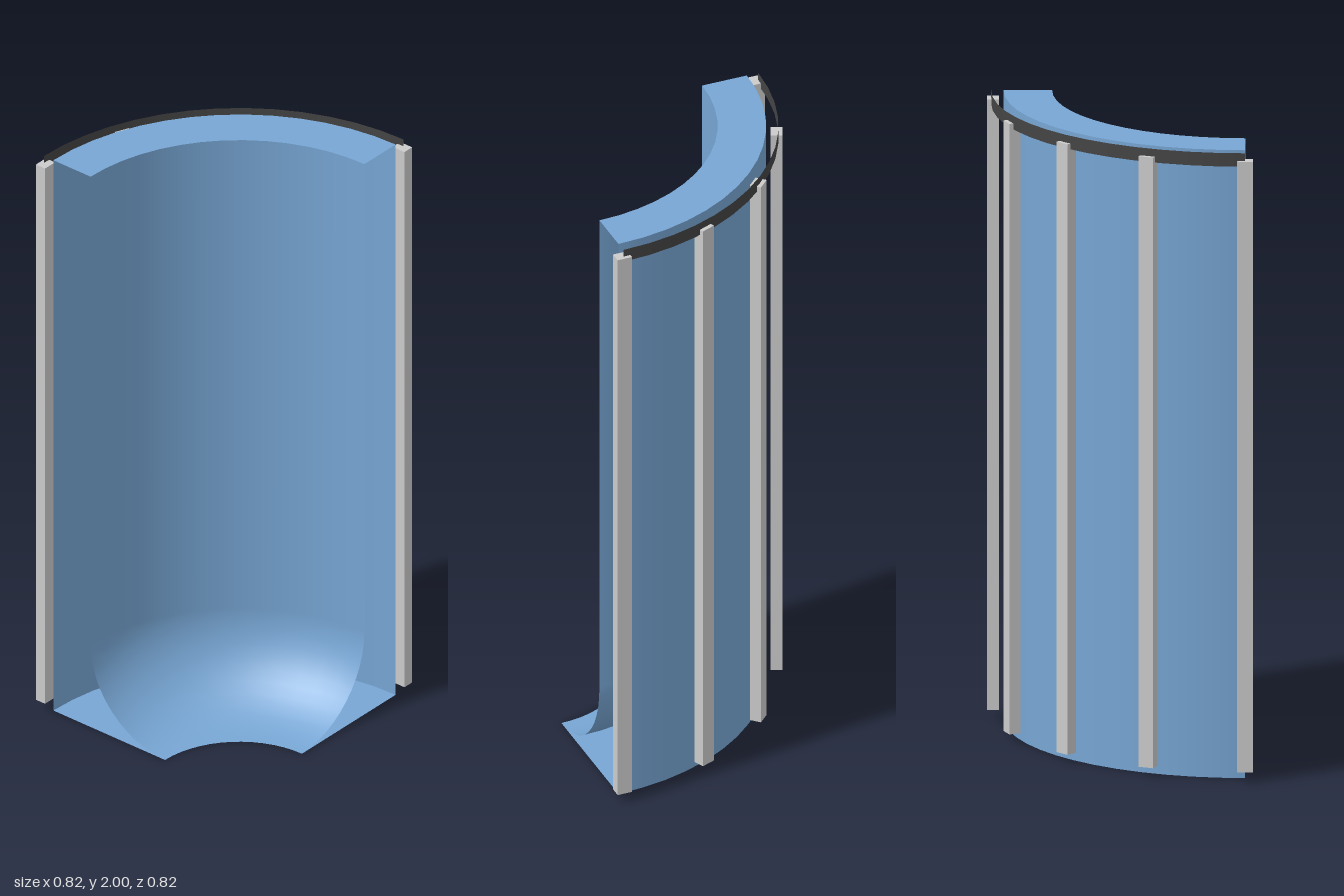
import * as THREE from 'three';

// Quarter-round wall section: everything is swept about one vertical axis.
const AXIS = 0.387;
const START = Math.PI, SWEEP = Math.PI / 2, SEGMENTS = 14;

const blue = new THREE.MeshStandardMaterial({ color: 0x77a6d4, side: THREE.DoubleSide });
const dark = new THREE.MeshStandardMaterial({ color: 0x444444, side: THREE.DoubleSide });
const grey = new THREE.MeshStandardMaterial({ color: 0xcccccc });

// Sweeps a profile of [radius, height] points through the quarter turn
function sweep(name, points, material) {
  const profile = points.map(([r, y]) => new THREE.Vector2(r, y));
  const mesh = new THREE.Mesh(new THREE.LatheGeometry(profile, SEGMENTS, START, SWEEP), material);
  mesh.name = name;
  mesh.position.set(AXIS, 0, AXIS);
  return mesh;
}

export function createModel() {
  const model = new THREE.Group();
  model.name = 'curvedRampCorner';

  // Hollow shell with open ends, one sweep per face to keep edges sharp
  const shell = new THREE.Group();
  shell.name = 'rampShell';
  const ramp = [[0.6, 2]];
  for (let i = 0; i <= 12; i++) {
    const a = (i / 12) * Math.PI / 2;
    ramp.push([0.3 + 0.3 * Math.cos(a), 0.3 - 0.3 * Math.sin(a)]);
  }
  shell.add(
    sweep('outerWall', [[0.75, 0], [0.75, 2]], blue),
    sweep('topDeck', [[0.75, 2], [0.6, 2]], blue),
    sweep('innerRamp', ramp, blue),
    sweep('underside', [[0.3, 0], [0.75, 0]], blue)
  );
  model.add(shell);

  // Thin band around the top of the posts
  model.add(sweep('topBand', [[0.788, 1.957], [0.788, 2]], dark));

  // Five posts behind the outer wall
  const postGeometry = new THREE.BoxGeometry(0.048, 1.945, 0.037);
  for (let i = 0; i < 5; i++) {
    const a = START + (SWEEP * i) / 4;
    const post = new THREE.Mesh(postGeometry, grey);
    post.name = `post${i + 1}`;
    post.position.set(AXIS + 0.782 * Math.sin(a), 1.003, AXIS + 0.782 * Math.cos(a));
    post.rotation.y = a;
    model.add(post);
  }

  return model;
}
